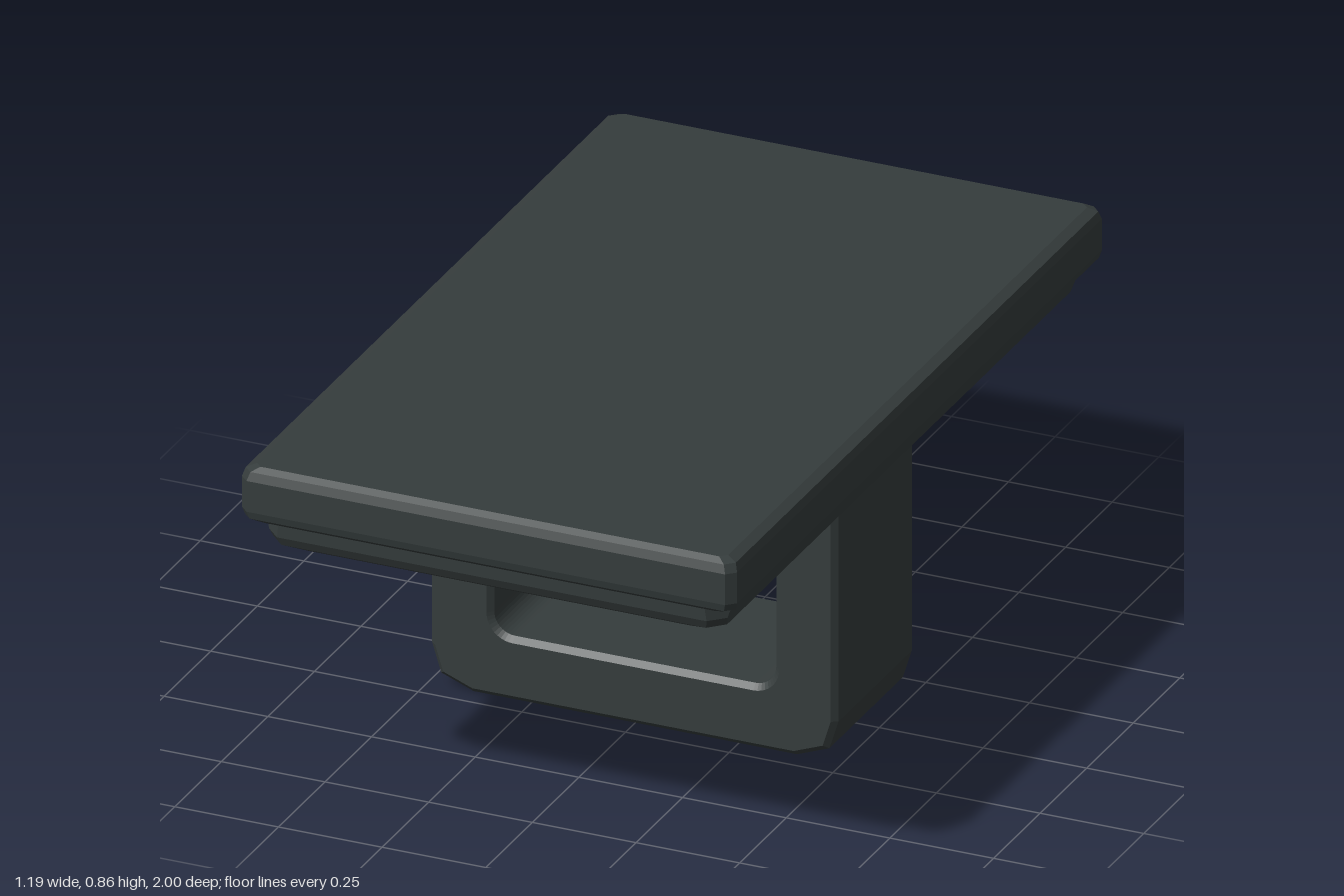
import * as THREE from 'three';

// Lofts stacked rectangles with cut corners; each section is [y, halfX, halfZ, cut], bottom to top.
function loftSlab(sections) {
  const rings = sections.map(([y, x, z, c]) => [
    [x, z - c], [x - c, z], [c - x, z], [-x, z - c],
    [-x, c - z], [c - x, -z], [x - c, -z], [x, c - z],
  ].map(([px, pz]) => [px, y, pz]));
  const pos = [];
  const tri = (...corners) => corners.forEach((p) => pos.push(...p));
  const n = 8;
  for (let i = 0; i < rings.length - 1; i++) {
    for (let j = 0; j < n; j++) {
      const k = (j + 1) % n;
      const [lo, hi] = [rings[i], rings[i + 1]];
      tri(lo[j], hi[j], lo[k]);
      tri(lo[k], hi[j], hi[k]);
    }
  }
  const bottom = rings[0];
  const top = rings[rings.length - 1];
  for (let j = 1; j < n - 1; j++) {
    tri(top[0], top[j + 1], top[j]);
    tri(bottom[0], bottom[j], bottom[j + 1]);
  }
  const geo = new THREE.BufferGeometry();
  geo.setAttribute('position', new THREE.Float32BufferAttribute(pos, 3));
  geo.computeVertexNormals();
  return geo;
}

// Squared loop with clipped lower corners and a rounded opening.
function loopGeometry() {
  const half = [[0.39, 0], [0.468, 0.03], [0.49, 0.1], [0.49, 0.69]];
  const mirrored = half.map(([x, y]) => [-x, y]).reverse();
  const shape = new THREE.Shape([...half, ...mirrored].map(([x, y]) => new THREE.Vector2(x, y)));

  const hole = new THREE.Path();
  const [w, y0, y1, r] = [0.34, 0.155, 0.656, 0.05];
  hole.absarc(w - r, y0 + r, r, -Math.PI / 2, 0);
  hole.absarc(w - r, y1 - r, r, 0, Math.PI / 2);
  hole.absarc(r - w, y1 - r, r, Math.PI / 2, Math.PI);
  hole.absarc(r - w, y0 + r, r, Math.PI, Math.PI * 1.5);
  shape.holes.push(hole);

  const bevel = 0.013;
  const depth = 0.42 - 2 * bevel;
  const geo = new THREE.ExtrudeGeometry(shape, {
    depth, curveSegments: 5, bevelEnabled: true, bevelSegments: 1,
    bevelSize: bevel, bevelThickness: bevel, bevelOffset: -bevel,
  });
  geo.translate(0, 0, -depth / 2);
  return geo;
}

export function createModel() {
  const group = new THREE.Group();
  const darkSlate = new THREE.MeshStandardMaterial({ color: 0x353c3c });
  darkSlate.name = 'darkSlate';
  const add = (name, geo) => {
    const mesh = new THREE.Mesh(geo, darkSlate);
    mesh.name = name;
    group.add(mesh);
  };

  // Wide top plate with bevelled rims
  add('topPlate', loftSlab([
    [0.723, 0.565, 0.975, 0.02],
    [0.737, 0.592, 0.995, 0.02],
    [0.755, 0.597, 1.0, 0.02],
    [0.83, 0.597, 1.0, 0.02],
    [0.85, 0.591, 0.993, 0.02],
    [0.86, 0.568, 0.978, 0.015],
  ]));

  // Narrower step beneath the plate
  add('lowerPlate', loftSlab([
    [0.652, 0.49, 0.93, 0.03],
    [0.668, 0.547, 0.957, 0.035],
    [0.69, 0.553, 0.968, 0.035],
    [0.73, 0.563, 0.97, 0.05],
  ]));

  // Hanging loop
  add('loop', loopGeometry());
  return group;
}
